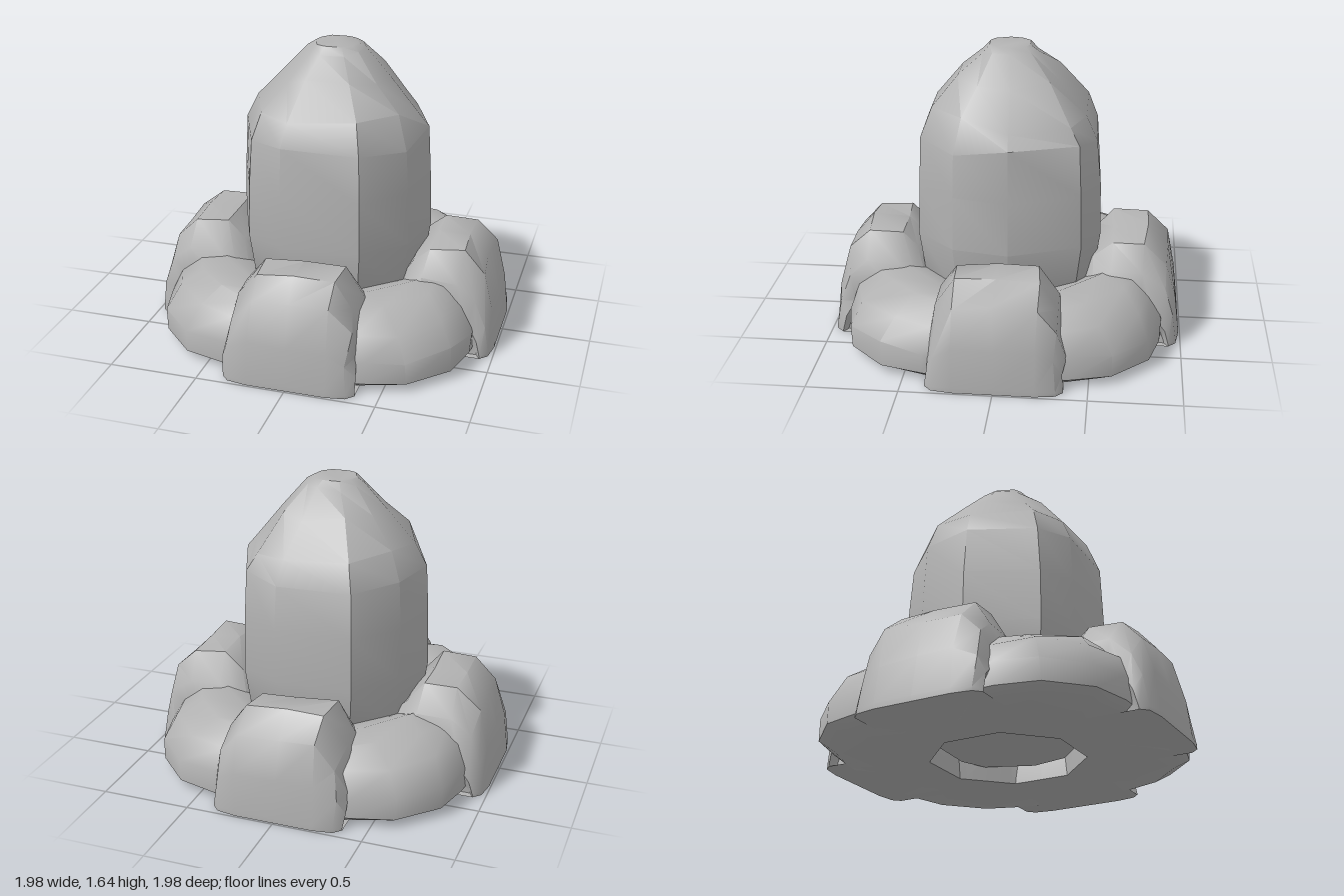
import * as THREE from 'three';
import { toCreasedNormals } from 'three/addons/utils/BufferGeometryUtils.js';

// Small repeatable unevenness in the range -1..1
function seeded(seed) {
  let s = seed * 7919 + 13;
  return () => {
    s = (s * 16807) % 2147483647;
    return (s / 2147483647) * 2 - 1;
  };
}

// Skin a list of equal-length closed cross-sections and cap both ends
function loft(sections, crease) {
  const n = sections[0].length;
  const points = sections.flat(2);
  const index = [];
  for (let i = 0; i < sections.length - 1; i++) {
    for (let j = 0; j < n; j++) {
      const k = (j + 1) % n;
      const a = i * n + j, b = a + n, c = i * n + k, d = c + n;
      index.push(a, c, b, b, c, d);
    }
  }
  const last = (sections.length - 1) * n;
  for (let j = 1; j < n - 1; j++) {
    index.push(0, j + 1, j);
    index.push(last, last + j, last + j + 1);
  }
  const geometry = new THREE.BufferGeometry();
  geometry.setAttribute('position', new THREE.Float32BufferAttribute(points, 3));
  geometry.setIndex(index);
  return toCreasedNormals(geometry, crease);
}

// Stone pointing along +z: profile is [radius, height], stations are
// [sideways, height scale, outer radius scale]
function stoneGeometry(profile, stations, seed) {
  const rand = seeded(seed);
  const inner = profile[0][0];
  const sections = stations.map(([x, sy, sr]) => profile.map(([r, y]) => {
    const rough = y > 0.1 ? 0.014 : 0;
    const z = inner + (r - inner) * sr;
    return [x + rand() * rough, y * sy + rand() * rough, z + (r < 0.95 ? rand() * rough : 0)];
  }));
  return loft(sections, 0.75);
}

// Ten-sided plan of the central post, [x, z]
const postPlan = [
  [-0.27, -0.51], [-0.48, -0.28], [-0.55, 0.02], [-0.39, 0.41], [-0.18, 0.51],
  [0.27, 0.49], [0.49, 0.27], [0.55, -0.04], [0.39, -0.43], [0.17, -0.53],
];
// [height, plan scale, unevenness]
const postLayers = [
  [0.08, 0.68, 0], [0.3, 0.92, 0], [0.6, 1, 0], [0.9, 0.985, 0.006],
  [1.17, 0.955, 0.02], [1.3, 0.84, 0.025], [1.47, 0.55, 0.02], [1.61, 0.3, 0.01], [1.645, 0.22, 0],
];

const tallProfile = [
  [0.4, 0], [0.42, 0.36], [0.5, 0.48], [0.6, 0.575], [0.79, 0.58],
  [0.91, 0.46], [0.965, 0.25], [0.99, 0.03], [0.99, 0],
];
const tallStations = [
  [-0.33, 0.22, 0.86], [-0.37, 0.4, 0.9], [-0.33, 0.73, 0.97], [-0.22, 0.98, 1], [0, 1, 1],
  [0.22, 1, 1], [0.33, 0.73, 0.97], [0.37, 0.4, 0.9], [0.33, 0.22, 0.86],
];
const lowProfile = [
  [0.4, 0], [0.4, 0.3], [0.5, 0.37], [0.62, 0.42], [0.79, 0.4],
  [0.93, 0.31], [1.02, 0.18], [1.02, 0.05], [0.93, 0],
];
const lowStations = [
  [-0.42, 0.85, 0.7], [-0.34, 0.95, 0.81], [-0.14, 1, 1],
  [0.14, 1, 1], [0.34, 0.96, 0.81], [0.42, 0.85, 0.7],
];

export function createModel() {
  const model = new THREE.Group();
  model.name = 'stonePost';
  const stone = new THREE.MeshStandardMaterial({ color: 0xb2b2b2 });
  stone.name = 'grey stone';

  const add = (name, geometry, angle = 0) => {
    const mesh = new THREE.Mesh(geometry, stone);
    mesh.name = name;
    mesh.rotation.y = angle;
    model.add(mesh);
  };

  // Central post with a blunt faceted tip
  const rand = seeded(5);
  const layers = postLayers.map(([y, scale, rough]) =>
    postPlan.map(([x, z]) => [x * scale, y + rand() * rough * 1.5, z * scale + rand() * rough * 0.4]));
  add('post', loft(layers, 0.6));

  // Ring of tall stones on the axes and low stones between them
  const tallNames = ['frontStone', 'leftStone', 'backStone', 'rightStone'];
  const lowNames = ['frontLeftStone', 'backLeftStone', 'backRightStone', 'frontRightStone'];
  for (let i = 0; i < 4; i++) {
    const angle = i * Math.PI / 2;
    add(tallNames[i], stoneGeometry(tallProfile, tallStations, i + 1), angle);
    add(lowNames[i], stoneGeometry(lowProfile, lowStations, i + 11), angle + Math.PI / 4);
  }
  return model;
}
